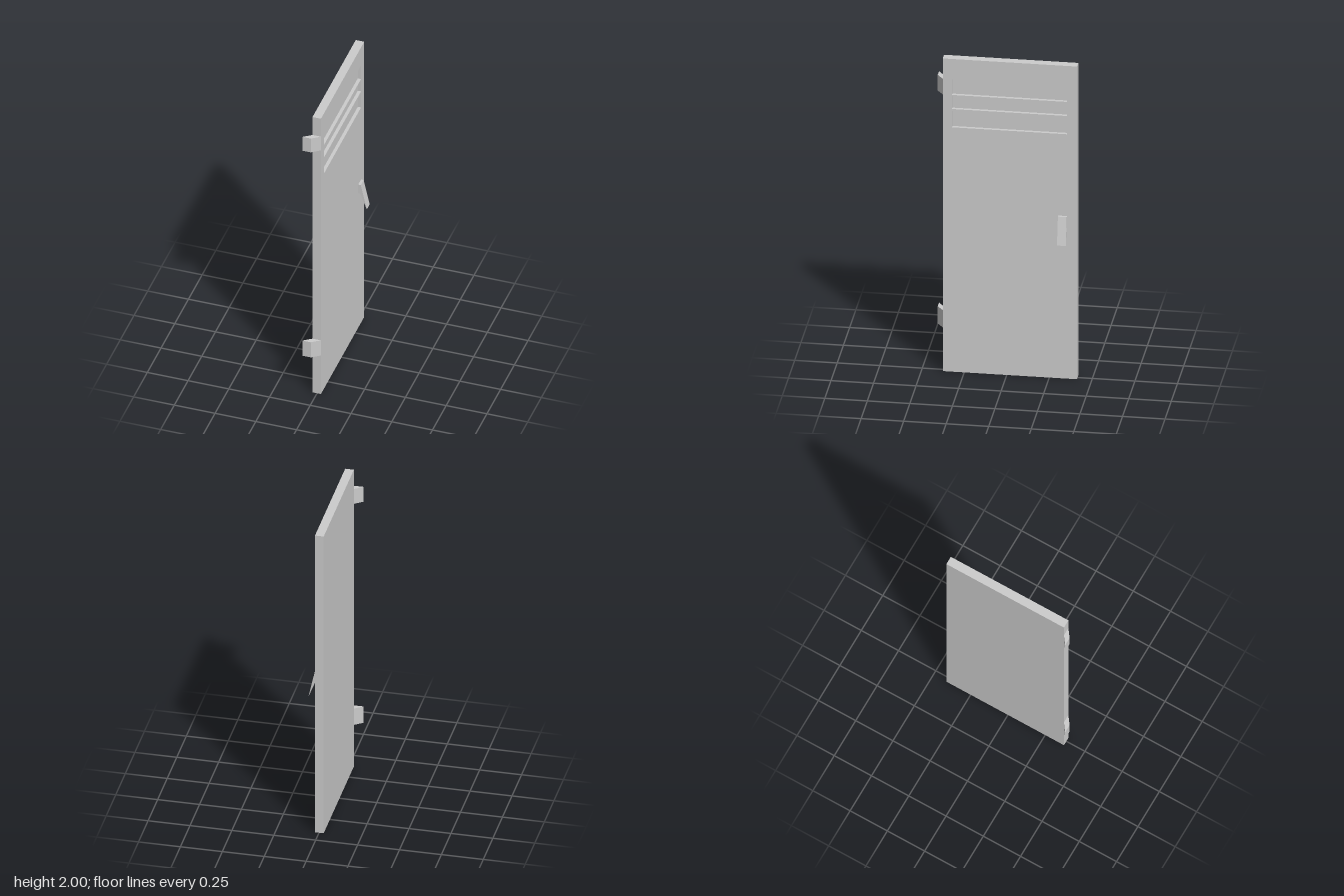
import * as THREE from 'three';

const material = new THREE.MeshStandardMaterial({ color: 0xcccccc, flatShading: true });

const polygon = (points) => new THREE.Shape(points.map(([x, y]) => new THREE.Vector2(x, y)));
const rectangle = (x0, y0, x1, y1) => polygon([[x0, y0], [x1, y0], [x1, y1], [x0, y1]]);
const extrude = (shape, depth) => new THREE.ExtrudeGeometry(shape, { depth, bevelEnabled: false });

export function createModel() {
  const group = new THREE.Group();
  const add = (name, geometry) => {
    const mesh = new THREE.Mesh(geometry, material);
    mesh.name = name;
    group.add(mesh);
    return mesh;
  };

  // Door measurements
  const xBack = -0.028, xFace = 0.024, zHinge = 0.376, zLatch = -0.413;
  const ventDepth = 0.02;
  const xSeam = xFace - ventDepth;

  // Solid back layer of the door
  add('doorBack', new THREE.BoxGeometry(xSeam - xBack, 2, zHinge - zLatch))
    .position.set((xBack + xSeam) / 2, 1, (zHinge + zLatch) / 2);

  // Outer layer with three recessed vents, drawn with shape x = -z
  const face = rectangle(-zHinge, 0, -zLatch, 2);
  for (const [low, high] of [[1.563, 1.668], [1.68, 1.762], [1.77, 1.87]]) {
    face.holes.push(rectangle(-0.322, low, 0.355, high));
  }
  add('ventedDoorFace', extrude(face, ventDepth).rotateY(Math.PI / 2)).position.x = xSeam;

  // Slanted hinge tabs, drawn with shape y = -z
  const hinge = polygon([
    [xFace, -zHinge], [xBack, -zHinge], [-0.078, -0.413], [-0.026, -0.413],
  ]);
  for (const [name, low, high] of [['lowerHinge', 0.28, 0.39], ['upperHinge', 1.77, 1.87]]) {
    add(name, extrude(hinge, high - low).rotateX(-Math.PI / 2)).position.y = low;
  }

  // Handle: a short mount tapering to an angled pull
  const handle = polygon([
    [xFace, 1.04], [xFace, 0.977], [0.036, 0.977], [0.077, 0.872], [0.04, 1.04],
  ]);
  add('handle', extrude(handle, 0.052)).position.z = -0.355;

  return group;
}
